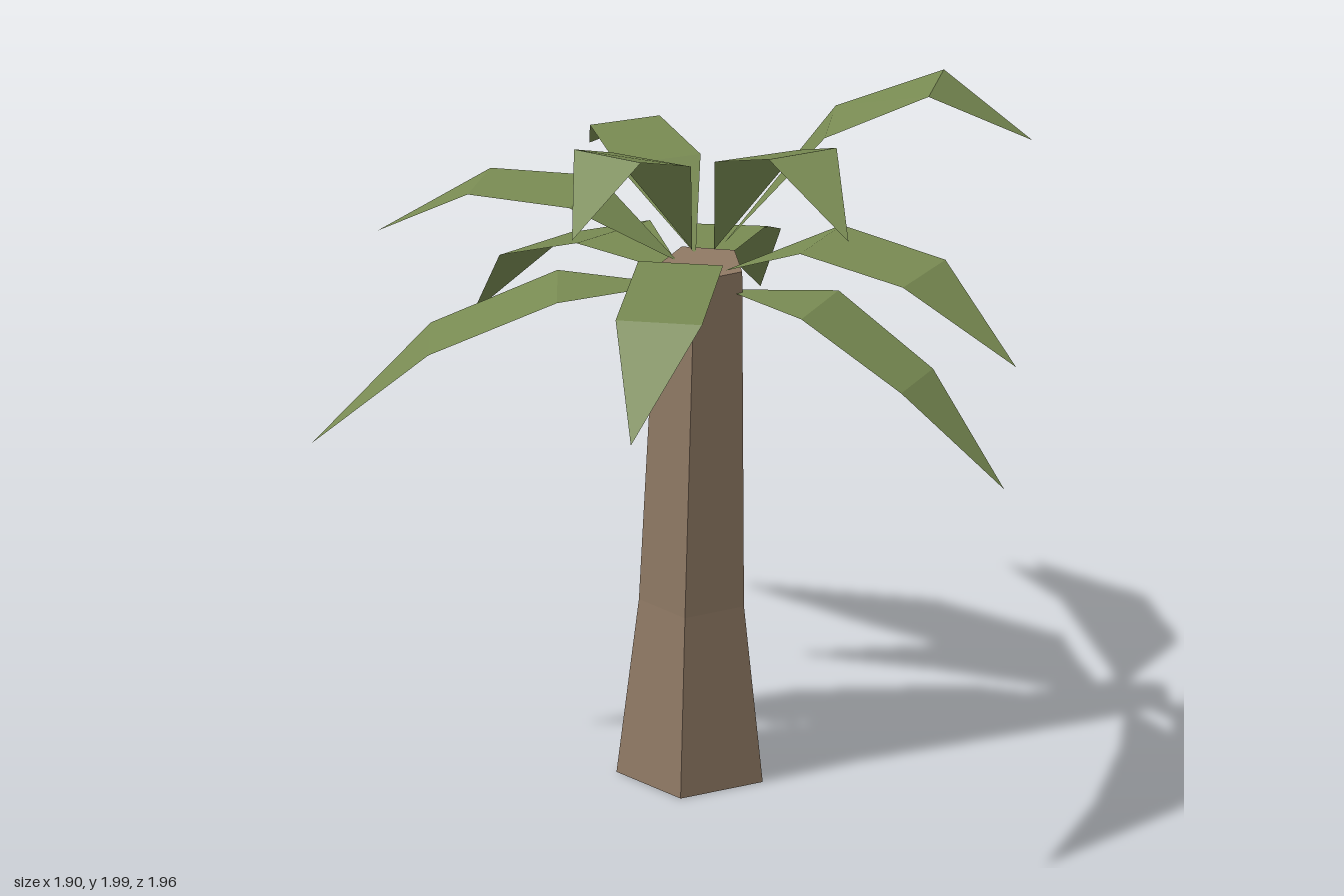
import * as THREE from 'three';

// Three tiers of fronds: heights of the stem point and the two cross rows
const tiers = {
  upper: { stem: 1.48, inner: 1.84, outer: 1.97 },
  middle: { stem: 1.41, inner: 1.57, outer: 1.56 },
  lower: { stem: 1.355, inner: 1.355, outer: 1.2 },
};

// Each frond in plan (x, z): stem, inner left/right, outer left/right; the tip is x, y, z
const fronds = [
  { tier: 'upper', stem: [0.035, -0.02], inner: [[0.26, -0.21], [0.33, -0.015]], outer: [[0.535, -0.28], [0.58, -0.11]], tip: [0.79, 1.825, -0.28] },
  { tier: 'upper', stem: [0.03, 0.02], inner: [[0.325, 0.12], [0.17, 0.285]], outer: [[0.54, 0.32], [0.42, 0.465]], tip: [0.7, 1.855, 0.56], lift: 0.02 },
  { tier: 'upper', stem: [-0.02, 0.045], inner: [[0.11, 0.3], [-0.11, 0.315]], outer: [[0.12, 0.595], [-0.07, 0.6]], tip: [0.055, 1.84, 0.85] },
  { tier: 'middle', stem: [0.04, -0.01], inner: [[0.34, -0.09], [0.33, 0.12]], outer: [[0.665, -0.04], [0.65, 0.165]], tip: [0.95, 1.38, 0.115] },
  { tier: 'middle', stem: [-0.01, 0.04], inner: [[0.205, 0.305], [0, 0.38]], outer: [[0.32, 0.64], [0.11, 0.715]], tip: [0.29, 1.365, 0.975], lift: 0.015 },
  { tier: 'middle', stem: [-0.09, -0.01], inner: [[-0.335, 0.12], [-0.365, -0.095]], outer: [[-0.615, 0.145], [-0.64, -0.03]], tip: [-0.89, 1.38, 0.115], lift: -0.01 },
  { tier: 'middle', stem: [-0.07, -0.07], inner: [[-0.35, -0.175], [-0.195, -0.335]], outer: [[-0.54, -0.385], [-0.41, -0.52]], tip: [-0.67, 1.376, -0.63], lift: -0.01 },
  { tier: 'lower', stem: [0.04, -0.02], inner: [[0.31, -0.13], [0.31, 0.075]], outer: [[0.59, -0.115], [0.59, 0.06]], tip: [0.845, 0.963, -0.02], lift: 0.01 },
  { tier: 'lower', stem: [-0.05, -0.09], inner: [[-0.24, -0.34], [-0.05, -0.42]], outer: [[-0.37, -0.65], [-0.17, -0.73]], tip: [-0.36, 0.9, -0.98] },
  { tier: 'lower', stem: [-0.09, -0.05], inner: [[-0.43, -0.1], [-0.33, -0.315]], outer: [[-0.73, -0.25], [-0.635, -0.46]], tip: [-0.95, 0.885, -0.525] },
  { tier: 'lower', stem: [-0.09, 0.01], inner: [[-0.3, 0.255], [-0.395, 0.07]], outer: [[-0.6, 0.39], [-0.69, 0.205]], tip: [-0.91, 0.91, 0.44] },
];

// A folded blade: stem triangle, middle quad, tip triangle
function frondGeometry({ tier, stem, inner, outer, tip, lift = 0 }) {
  const h = tiers[tier];
  const at = ([x, z], y) => [x, y, z];
  const s = at(stem, h.stem);
  const [l1, r1] = inner.map((p) => at(p, h.inner + lift));
  const [l2, r2] = outer.map((p) => at(p, h.outer + lift));
  const corners = [s, r1, l1, l1, r1, r2, l1, r2, l2, l2, r2, tip];
  const geometry = new THREE.BufferGeometry();
  geometry.setAttribute('position', new THREE.Float32BufferAttribute(corners.flat(), 3));
  geometry.computeVertexNormals();
  return geometry;
}

// Five-sided trunk in two tapering, slightly leaning sections
function trunkGeometry() {
  const rings = [
    { y: 0, r: 0.199, x: -0.05 },
    { y: 0.48, r: 0.143, x: -0.048 },
    { y: 1.415, r: 0.116, x: -0.026 },
  ];
  const geometry = new THREE.CylinderGeometry(1, 1, 2, 5, 2, false, Math.PI / 2).toNonIndexed();
  const p = geometry.attributes.position;
  for (let i = 0; i < p.count; i++) {
    const ring = rings[Math.round(p.getY(i)) + 1];
    p.setXYZ(i, p.getX(i) * ring.r + ring.x, ring.y, p.getZ(i) * ring.r - 0.02);
  }
  geometry.computeVertexNormals();
  return geometry;
}

export function createModel() {
  const bark = new THREE.MeshStandardMaterial({ color: 0x8f7964 });
  bark.name = 'bark brown';
  bark.flatShading = true;
  const leaf = new THREE.MeshStandardMaterial({ color: 0x788a52, side: THREE.DoubleSide });
  leaf.name = 'leaf green';
  leaf.flatShading = true;

  const model = new THREE.Group();
  model.name = 'palmTree';

  const trunk = new THREE.Mesh(trunkGeometry(), bark);
  trunk.name = 'trunk';
  model.add(trunk);

  const crown = new THREE.Group();
  crown.name = 'crown';
  fronds.forEach((frond, i) => {
    const mesh = new THREE.Mesh(frondGeometry(frond), leaf);
    mesh.name = `${frond.tier}Frond${i + 1}`;
    crown.add(mesh);
  });
  model.add(crown);
  return model;
}
